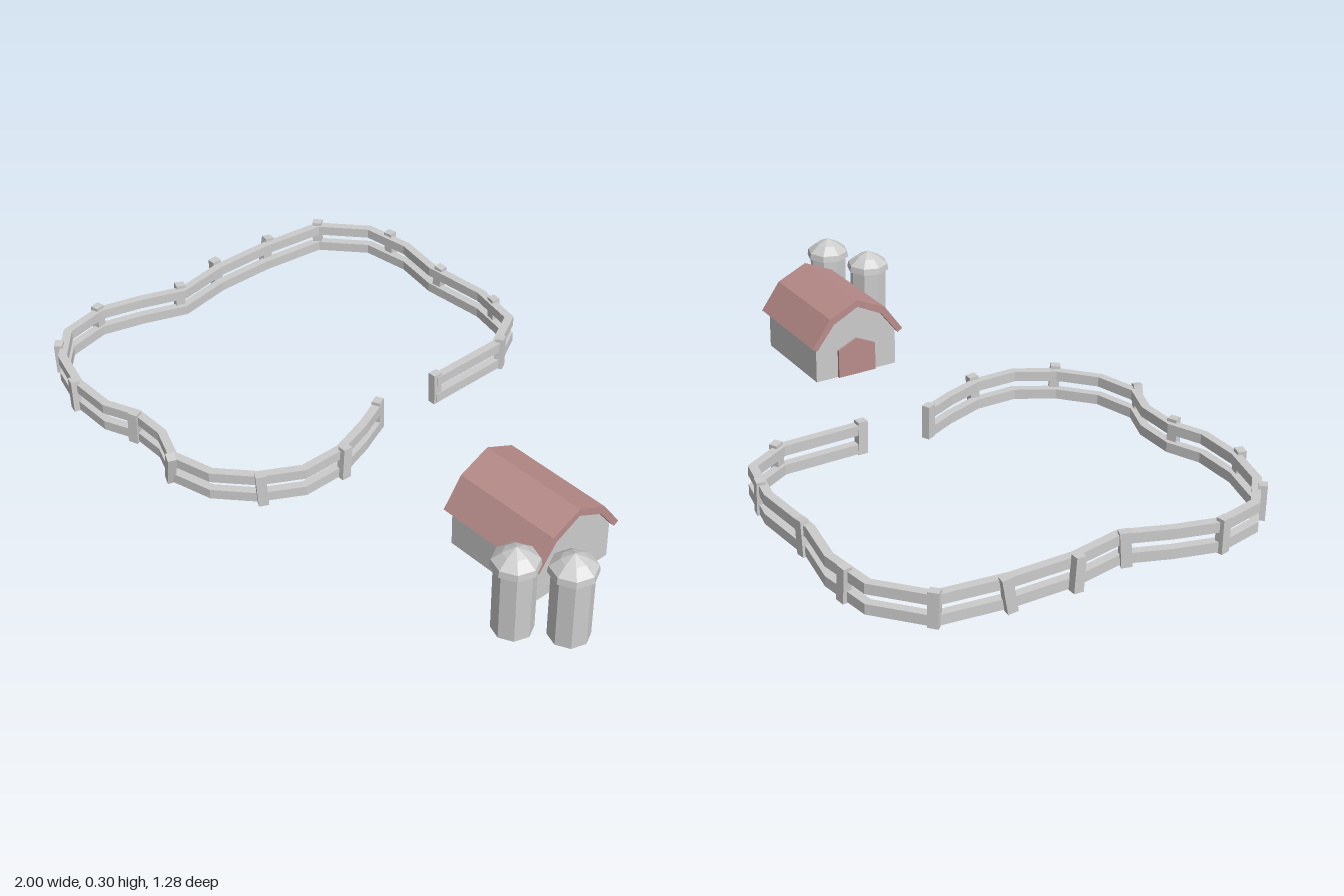
import * as THREE from 'three';

const grey = new THREE.MeshStandardMaterial({ color: 0xcccccc, flatShading: true, side: THREE.DoubleSide });
const red = new THREE.MeshStandardMaterial({ color: 0xb88c8a, flatShading: true, side: THREE.DoubleSide });

function add(parent, name, geometry, material = grey) {
  const mesh = new THREE.Mesh(geometry, material);
  mesh.name = name;
  parent.add(mesh);
  return mesh;
}

const shapeOf = (pts) => new THREE.Shape(pts.map(([x, y]) => new THREE.Vector2(x, y)));

// Extrude a (z, y) outline along x between x0 and x1
function extrudeX(pts, x0, x1) {
  const g = new THREE.ExtrudeGeometry(shapeOf(pts), { depth: x1 - x0, bevelEnabled: false });
  return g.rotateY(-Math.PI / 2).translate(x1, 0, 0);
}

// Centre line of the fence as [x, z], from one side of the gate round to the other
const path = [
  [-0.018, -0.2], [-0.02, -0.46], [-0.09, -0.585], [-0.25, -0.618], [-0.46, -0.602], [-0.61, -0.627],
  [-0.77, -0.605], [-0.9, -0.49], [-0.925, -0.28], [-0.925, -0.09], [-0.895, 0.075], [-0.945, 0.21],
  [-0.98, 0.34], [-0.95, 0.48], [-0.85, 0.568], [-0.71, 0.607], [-0.57, 0.607], [-0.47, 0.565],
  [-0.35, 0.565], [-0.245, 0.605], [-0.115, 0.57], [-0.015, 0.48], [0.05, 0.365], [0.05, 0.23],
  [0.01, 0.11], [-0.035, 0.01],
].map(([x, z]) => new THREE.Vector2(x, z));

// Path shifted sideways with mitred corners
function offsetPath(d) {
  return path.map((p, i) => {
    const a = path[Math.max(i - 1, 0)], b = path[Math.min(i + 1, path.length - 1)];
    const u = (i ? p.clone().sub(a) : b.clone().sub(p)).normalize();
    const v = (b !== p ? b.clone().sub(p) : p.clone().sub(a)).normalize();
    const n = new THREE.Vector2(-u.y - v.y, u.x + v.x).normalize();
    const k = d / (n.x * -u.y + n.y * u.x);
    return [p.x + n.x * k, -(p.y + n.y * k)];
  });
}

// Posts as [x, z, lean along the fence]
const posts = [
  [-0.02, -0.205, 0], [-0.017, -0.475, 0.08], [-0.185, -0.612, 0.05], [-0.435, -0.611, -0.1],
  [-0.69, -0.628, 0.06], [-0.905, -0.492, 0], [-0.943, -0.3, -0.18], [-0.95, -0.095, 0.05],
  [-0.913, 0.08, -0.08], [-0.987, 0.343, 0], [-0.902, 0.545, 0.06], [-0.713, 0.62, -0.04],
  [-0.467, 0.58, 0.04], [-0.242, 0.617, 0.25], [0.003, 0.483, -0.05], [0.067, 0.23, 0.08],
  [-0.035, 0.012, 0],
];

// Direction of the fence segment closest to a point
function headingAt(x, z) {
  const p = new THREE.Vector3(x, 0, z), q = new THREE.Vector3();
  let best = Infinity, heading = 0;
  for (let i = 0; i < path.length - 1; i++) {
    const a = path[i], b = path[i + 1];
    new THREE.Line3(new THREE.Vector3(a.x, 0, a.y), new THREE.Vector3(b.x, 0, b.y)).closestPointToPoint(p, true, q);
    const d = q.distanceTo(p);
    if (d < best) { best = d; heading = Math.atan2(-(b.y - a.y), b.x - a.x); }
  }
  return heading;
}

function createFence() {
  const fence = new THREE.Group();
  fence.name = 'fence';
  const outline = [...offsetPath(0.013), ...offsetPath(-0.013).reverse()];
  for (const [name, y] of [['lowerRail', 0.045], ['upperRail', 0.105]]) {
    const g = new THREE.ExtrudeGeometry(shapeOf(outline), { depth: 0.031, bevelEnabled: false });
    add(fence, name, g.rotateX(-Math.PI / 2).translate(0, y, 0));
  }
  for (const [x, z, lean] of posts) {
    const post = add(fence, 'fencePost', new THREE.BoxGeometry(0.03, 0.104, 0.026));
    post.position.set(x, 0.094, z);
    post.rotation.set(0, headingAt(x, z), -lean);
  }
  return fence;
}

function createBarn() {
  const barn = new THREE.Group();
  barn.name = 'barn';
  const cz = 0.051, x0 = 0.473, x1 = 0.792, base = 0.03;
  // Mirror half a profile about the ridge
  const mirror = (half) => [...half.map(([d, y]) => [cz - d, y]),
    ...half.filter(([d]) => d > 0).reverse().map(([d, y]) => [cz + d, y])];

  // Gambrel roof slab
  const outer = mirror([[0.16, 0.153], [0.097, 0.24], [0, 0.284]]);
  const inner = mirror([[0.144, 0.143], [0.084, 0.22], [0, 0.262]]);
  add(barn, 'roof', extrudeX([...outer, ...inner.reverse()], 0.458, 0.807), red);

  // Open-bottomed walls
  const gable = mirror([[0.141, base], [0.141, 0.148], [0.084, 0.221], [0, 0.263]]);
  for (const [x, turn] of [[x0, -1], [x1, 1]]) {
    const pts = gable.map(([z, y]) => [-turn * z, y]);
    add(barn, 'gableWall', new THREE.ShapeGeometry(shapeOf(pts)).rotateY(turn * Math.PI / 2).translate(x, 0, 0));
  }
  for (const s of [-1, 1]) {
    const wall = add(barn, 'sideWall', new THREE.PlaneGeometry(x1 - x0, 0.118));
    wall.position.set((x0 + x1) / 2, base + 0.059, cz + s * 0.141);
    if (s < 0) wall.rotation.y = Math.PI;
  }

  // Pointed door on the end facing the fence
  add(barn, 'door', extrudeX(mirror([[0.065, base], [0.065, 0.122], [0, 0.152]]), 0.465, x0), red);
  return barn;
}

// Eight-sided silo with an overhanging domed cap
function createSilo(x, y, z) {
  const silo = new THREE.Group();
  silo.name = 'silo';
  const lathe = (pts) => new THREE.LatheGeometry(pts.map(([r, h]) => new THREE.Vector2(r, h)), 8);
  add(silo, 'siloBody', lathe([[0.059, 0], [0.059, 0.225]]));
  add(silo, 'siloCap', lathe([[0.059, 0.22], [0.069, 0.22], [0.066, 0.24], [0.037, 0.263], [0, 0.281]]));
  silo.position.set(x, y, z);
  silo.rotation.y = 0.08;
  return silo;
}

export function createModel() {
  const model = new THREE.Group();
  model.name = 'farm';
  model.add(createFence(), createBarn(), createSilo(0.798, 0.002, 0.278), createSilo(0.927, 0.018, 0.198));
  return model;
}
